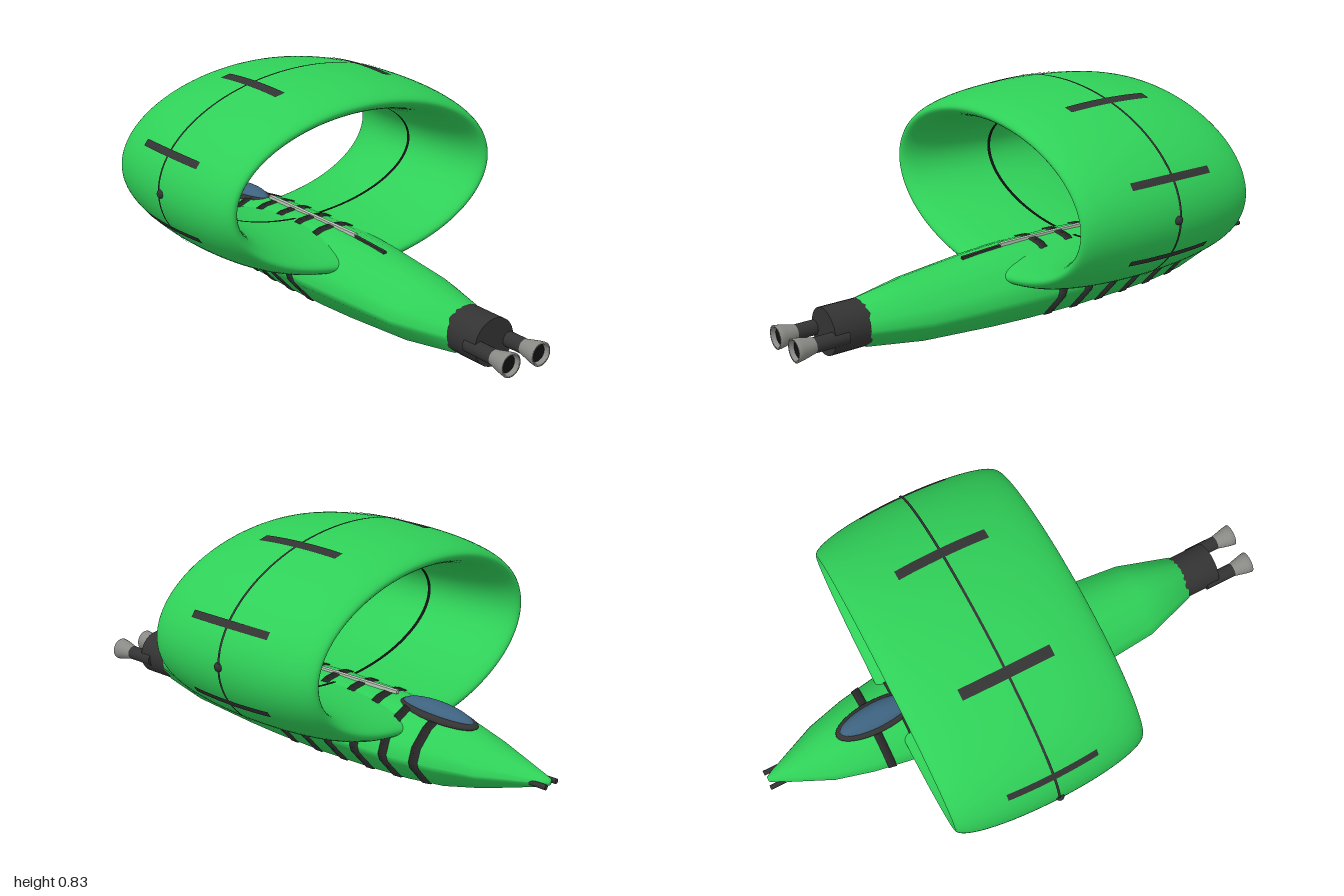
import * as THREE from 'three';
import { mergeVertices } from 'three/addons/utils/BufferGeometryUtils.js';

const paint = (color) => new THREE.MeshStandardMaterial({ color });
const green = paint(0x2fd058), dark = paint(0x333333), black = paint(0x111111);
const steel = paint(0x8a8a86), glass = paint(0x3d627f), pale = paint(0xb8c8b8);
steel.side = THREE.DoubleSide;

// Hull stations: z, half width, bottom y, top y
const STATIONS = [
  [-0.975, 0.01, 0.125, 0.148], [-0.95, 0.025, 0.115, 0.155], [-0.76, 0.112, 0.06, 0.206],
  [-0.62, 0.15, 0.027, 0.243], [-0.48, 0.174, 0.014, 0.258], [-0.3, 0.188, 0.007, 0.271],
  [-0.1, 0.193, 0.004, 0.277], [0.1, 0.188, 0.006, 0.274], [0.25, 0.178, 0.011, 0.266],
  [0.53, 0.152, 0.028, 0.238], [0.73, 0.088, 0.05, 0.213],
];
// Half of the hull outline: share of half width, share of height
const HALF = [[0, 0], [0.52, 0.05], [0.95, 0.38], [1, 0.48], [0.9, 0.68], [0.55, 0.9], [0.27, 0.98], [0, 1]];
const OUTLINE = [...HALF, ...HALF.slice(1, -1).reverse().map(([u, v]) => [-u, v])];

function stationAt(z) {
  let i = 0;
  while (i < STATIONS.length - 2 && z > STATIONS[i + 1][0]) i++;
  const a = STATIONS[i], b = STATIONS[i + 1], k = (z - a[0]) / (b[0] - a[0]);
  return a.map((s, j) => s + (b[j] - s) * k);
}

// Skin over hull stations given in rising z, swollen outward by grow
function hullLoft(stations, grow = 0) {
  const pos = [], idx = [], n = OUTLINE.length;
  for (const [z, w, lo, hi] of stations) {
    for (const [u, v] of OUTLINE) {
      pos.push(u * (w + grow), lo - grow + v * (hi - lo + 2 * grow), z);
    }
  }
  for (let s = 0; s < stations.length - 1; s++) {
    for (let i = 0; i < n; i++) {
      const j = (i + 1) % n, a = s * n + i, b = s * n + j;
      idx.push(a, b, b + n, a, b + n, a + n);
    }
  }
  const last = (stations.length - 1) * n;
  for (let i = 1; i < n - 1; i++) idx.push(0, i + 1, i, last, last + i, last + i + 1);
  const g = new THREE.BufferGeometry();
  g.setAttribute('position', new THREE.Float32BufferAttribute(pos, 3));
  g.setIndex(idx);
  g.computeVertexNormals();
  return g;
}

// Patch of the oval ring wing: t runs round the ring, v round its thin section
function ringPatch(t0, t1, nt, v0, v1, nv, off = 0) {
  const pos = [], idx = [];
  for (let i = 0; i <= nt; i++) {
    const t = t0 + (t1 - t0) * i / nt;
    for (let j = 0; j <= nv; j++) {
      const v = v0 + (v1 - v0) * j / nv, r = (0.065 + off) * Math.cos(v);
      pos.push((0.545 + r) * Math.cos(t), 0.48 + (0.28 + r) * Math.sin(t), -0.125 + (0.355 + off) * Math.sin(v));
      if (i < nt && j < nv) {
        const a = i * (nv + 1) + j, b = a + nv + 1;
        idx.push(a, b, b + 1, a, b + 1, a + 1);
      }
    }
  }
  let g = new THREE.BufferGeometry();
  g.setAttribute('position', new THREE.Float32BufferAttribute(pos, 3));
  g.setIndex(idx);
  g = mergeVertices(g, 1e-5);
  g.computeVertexNormals();
  return g;
}

export function createModel() {
  const model = new THREE.Group();
  const add = (name, geometry, material, x = 0, y = 0, z = 0) => {
    const mesh = new THREE.Mesh(geometry, material);
    mesh.name = name;
    mesh.position.set(x, y, z);
    model.add(mesh);
    return mesh;
  };
  const rod = (r0, r1, len, open = false) =>
    new THREE.CylinderGeometry(r1, r0, len, 28, 1, open).rotateX(Math.PI / 2);
  const TAU = Math.PI * 2;

  // Hull and the bands round it
  add('hull', hullLoft(STATIONS), green);
  for (let i = 0; i < 6; i++) {
    const z = 0.025 - i * 0.116;
    add('hullBand', hullLoft([stationAt(z - 0.015), stationAt(z + 0.015)], 0.004), dark);
  }

  // Ring wing with its stripes and seam lines
  add('ringWing', ringPatch(0, TAU, 128, 0, TAU, 64), green);
  for (let i = 0; i < 8; i++) {
    const t = (i + 0.5) * TAU / 8;
    add('ringStripe', ringPatch(t - 0.034, t + 0.034, 4, -0.483, 0.483, 12, 0.003), dark);
  }
  add('outerSeam', ringPatch(0, TAU, 128, -0.012, 0.012, 2, 0.004), dark);
  add('innerSeam', ringPatch(0, TAU, 128, Math.PI - 0.018, Math.PI + 0.018, 2, 0.004), black);

  // Spine strip along the top of the hull
  add('spineStrip', new THREE.BoxGeometry(0.014, 0.012, 0.52), pale, 0, 0.278, -0.1);
  const tail = add('spineTail', new THREE.BoxGeometry(0.012, 0.012, 0.17), dark, 0, 0.267, 0.235);
  tail.rotation.x = 0.06;

  // Canopy in its frame
  const ball = new THREE.SphereGeometry(1, 32, 20);
  const canopy = add('canopy', ball, glass, 0, 0.25, -0.53);
  canopy.scale.set(0.049, 0.036, 0.145);
  canopy.rotation.x = -0.06;
  const frame = add('canopyFrame', ball, dark, 0, 0.247, -0.53);
  frame.scale.set(0.062, 0.022, 0.162);
  frame.rotation.x = -0.06;

  // Engine block
  add('engineBlock', rod(0.082, 0.082, 0.14), dark, 0, 0.131, 0.79);

  for (const side of [-1, 1]) {
    // Exhaust pipe and flared nozzle
    const x = side * 0.064;
    add('exhaustPipe', rod(0.026, 0.026, 0.12), dark, x, 0.124, 0.87);
    const flare = [[0.024, 0], [0.026, 0.01], [0.038, 0.06], [0.041, 0.08], [0.033, 0.08], [0.022, 0.015]]
      .map(([r, h]) => new THREE.Vector2(r, h));
    add('nozzle', new THREE.LatheGeometry(flare, 28).rotateX(Math.PI / 2), steel, x, 0.124, 0.92);
    add('nozzleCore', new THREE.CircleGeometry(0.031, 28), black, x, 0.124, 0.985);
    // Nose gun and wing tip lamp
    add('noseGun', rod(0.009, 0.009, 0.06), dark, side * 0.03, 0.13, -0.95);
    add('tipLamp', new THREE.SphereGeometry(0.016, 16, 12), dark, side * 0.606, 0.48, -0.12);
  }

  // Row of small ports under the hull
  for (let i = 0; i < 5; i++) {
    const z = 0.26 + i * 0.035;
    add('bellyPort', new THREE.SphereGeometry(0.008, 10, 8), black, 0, stationAt(z)[2], z);
  }
  return model;
}
